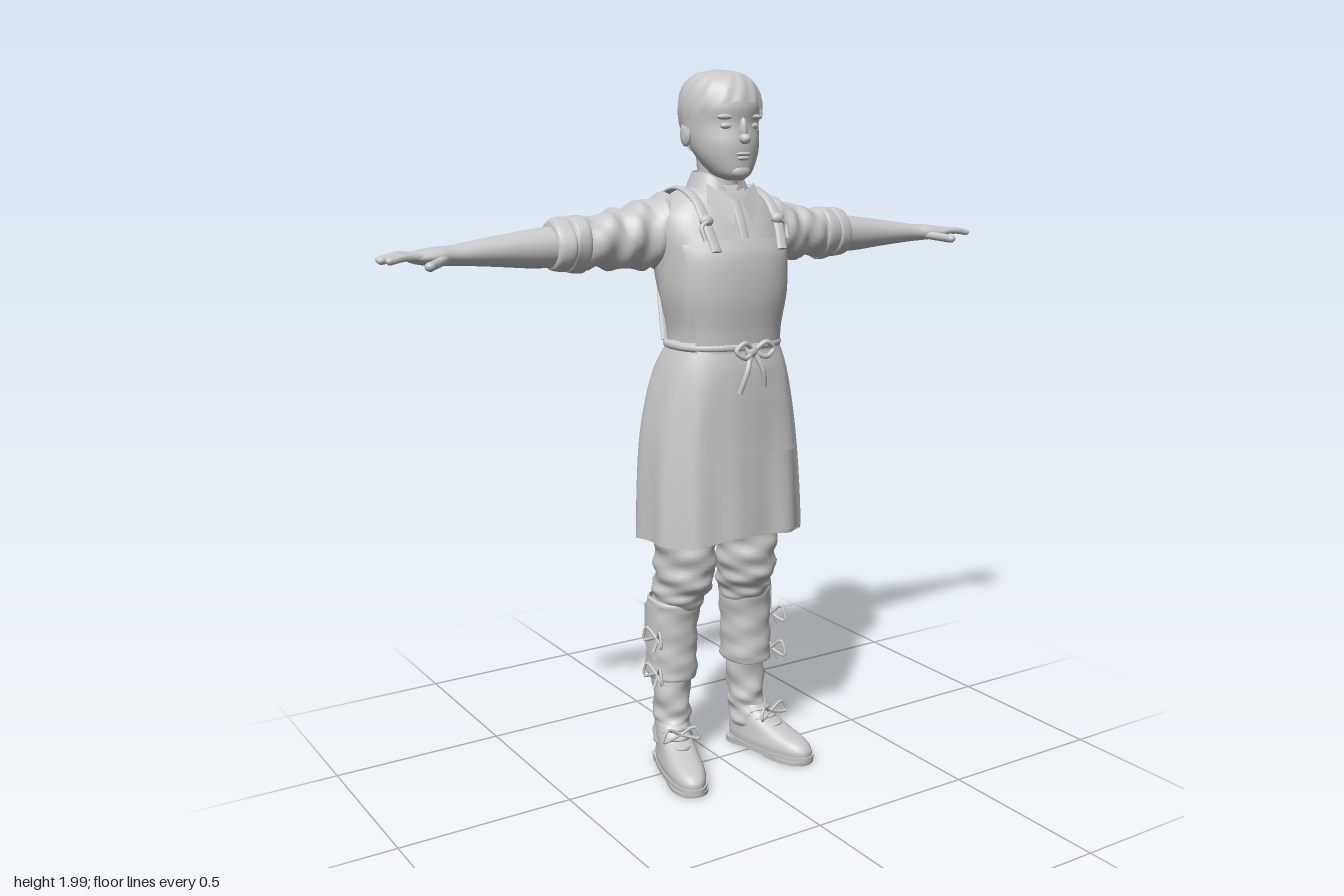
import * as THREE from 'three';

const V = (p) => new THREE.Vector3(...p);

// Grid surface from f(u, v); wrap joins the u edges smoothly.
function surface(f, nu, nv, wrap, caps) {
  const pos = [], idx = [], w = wrap ? nu : nu + 1;
  for (let j = 0; j <= nv; j++) for (let i = 0; i < w; i++) pos.push(...f(i / nu, j / nv));
  for (let j = 0; j < nv; j++) for (let i = 0; i < nu; i++) {
    const a = j * w + i, b = j * w + (i + 1) % w;
    idx.push(a, a + w, b, b, a + w, b + w);
  }
  if (caps) for (const j of [0, nv]) {
    const start = pos.length / 3, c = [0, 0, 0];
    for (let i = 0; i < nu; i++) {
      const p = f(i / nu, j / nv);
      pos.push(...p);
      p.forEach((q, k) => { c[k] += q / nu; });
    }
    pos.push(...c);
    for (let i = 0; i < nu; i++) {
      const a = start + i, b = start + (i + 1) % nu;
      idx.push(start + nu, ...(j ? [b, a] : [a, b]));
    }
  }
  const g = new THREE.BufferGeometry();
  g.setAttribute('position', new THREE.Float32BufferAttribute(pos, 3));
  g.setIndex(idx);
  g.computeVertexNormals();
  return g;
}

// Smooth value between the rows of a section table.
function row(rows, t) {
  const n = rows.length - 1, i = Math.min(Math.floor(t), n - 1), s = t - i;
  const p = [i - 1, i, i + 1, i + 2].map((k) => rows[Math.max(0, Math.min(n, k))]);
  return p[1].map((b, k) => {
    const a = p[0][k], c = p[2][k], d = p[3][k];
    return b + 0.5 * s * (c - a + s * (2 * a - 5 * b + 4 * c - d + s * (3 * (b - c) + d - a)));
  });
}

// Loft of rounded sections [y, centreX, radiusX, frontZ, backZ]; also makes partial patches.
function loft(rows, o = {}) {
  const { e = 1, n = 40, m = 6, grow = 0, a0 = 0, a1 = 2, t0 = 0, t1 = rows.length - 1,
    fold = () => 0, lift = () => 0, caps = false } = o;
  return surface((u, v) => {
    const a = Math.PI * (a0 + (a1 - a0) * u);
    const s = typeof t0 === 'function' ? t0(a) : t0, t = s + (t1 - s) * v;
    const [y, cx, rx, zf, zb] = row(rows, t), k = grow + fold(a, t);
    const c = Math.cos(a), d = Math.sin(a);
    return [cx + (rx + k) * Math.sign(c) * Math.abs(c) ** e, y + lift(a, t),
      (zf + zb) / 2 + ((zf - zb) / 2 + k) * Math.sign(d) * Math.abs(d) ** e];
  }, n, Math.ceil(m * (rows.length - 1)), a1 - a0 === 2, caps);
}

// Sideways loft from rows [x, centreY, radiusY, frontZ, backZ].
const armLoft = (rows, o) => loft(rows.map(([x, y, ...r]) => [x, -y, ...r]), o).rotateZ(-Math.PI / 2);

const tube = (pts, r, n = 24) =>
  new THREE.TubeGeometry(new THREE.CatmullRomCurve3(pts.map(V)), n, r, 8);

const ball = (x, y, z, rx, ry, rz) =>
  new THREE.SphereGeometry(1, 20, 14).scale(rx, ry, rz).translate(x, y, z);

// Flat strap running along a path, wide in x.
function strap(pts, w, h) {
  const curve = new THREE.CatmullRomCurve3(pts.map(V));
  return surface((u, v) => {
    const p = curve.getPoint(v), t = curve.getTangent(v), a = -u * Math.PI * 2;
    const nrm = new THREE.Vector3(1, 0, 0).cross(t).normalize();
    p.x += w * Math.cos(a);
    return p.addScaledVector(nrm, h * Math.sin(a)).toArray();
  }, 10, 36, true, true);
}

export function createModel() {
  const group = new THREE.Group();
  const clay = new THREE.MeshStandardMaterial({ color: 0xc8c8c8, side: THREE.DoubleSide });
  clay.name = 'clay grey';
  const add = (name, g) => {
    const mesh = new THREE.Mesh(g, clay);
    mesh.name = name;
    group.add(mesh);
  };
  const pair = (name, g) => {
    add(`${name}Left`, g);
    const r = g.clone().scale(-1, 1, 1), ix = r.index.array;
    for (let i = 0; i < ix.length; i += 3) [ix[i], ix[i + 1]] = [ix[i + 1], ix[i]];
    add(`${name}Right`, r);
  };

  // Head and face
  const head = [[1.703, 0, 0.02, 0.1, 0.05], [1.72, 0, 0.052, 0.115, 0], [1.76, 0, 0.08, 0.12, -0.045],
    [1.8, 0, 0.094, 0.122, -0.08], [1.85, 0, 0.1, 0.115, -0.103], [1.9, 0, 0.102, 0.12, -0.114],
    [1.95, 0, 0.088, 0.1, -0.1], [1.982, 0, 0.055, 0.062, -0.066], [1.994, 0, 0.004, 0.004, -0.006]];
  add('head', loft(head, { caps: true }));
  add('nose', ball(0, 1.812, 0.124, 0.016, 0.014, 0.018));
  add('noseBridge', ball(0, 1.835, 0.115, 0.011, 0.033, 0.014));
  add('upperLip', ball(0, 1.773, 0.118, 0.024, 0.006, 0.009));
  add('lowerLip', ball(0, 1.762, 0.116, 0.02, 0.007, 0.009));
  add('chin', ball(0, 1.727, 0.104, 0.03, 0.02, 0.017));
  pair('eyelid', ball(0.04, 1.846, 0.098, 0.02, 0.01, 0.012));
  pair('brow', ball(0.042, 1.869, 0.099, 0.029, 0.008, 0.013));
  pair('ear', ball(0.1, 1.825, -0.012, 0.012, 0.034, 0.022).rotateY(0));

  // Short hair with a swept fringe
  const hairline = (a) => {
    const f = Math.sin(a), side = Math.cos(a);
    return f > 0 ? 3.7 + 1.25 * f ** 0.8 - 0.25 * f * Math.cos(a + 1) : 3.7 - 1.3 * Math.min(1, -f * 1.3) * (1 - 0.15 * side * side);
  };
  add('hair', loft(head, { n: 64, t0: hairline, grow: 0.008,
    fold: (a, t) => 0.0018 * Math.sin(a * 14 + t * 3) * Math.min(1, 8 - t) }));

  // Neck, shirt body and collar
  add('neck', loft([[1.6, 0, 0.065, 0.07, -0.08], [1.68, 0, 0.053, 0.052, -0.068], [1.77, 0, 0.056, 0.05, -0.075]]));
  const torso = [[1.22, 0, 0.155, 0.13, -0.11], [1.3, 0, 0.155, 0.135, -0.11], [1.4, 0, 0.175, 0.146, -0.138],
    [1.5, 0, 0.183, 0.14, -0.158], [1.57, 0, 0.19, 0.112, -0.158], [1.62, 0, 0.175, 0.088, -0.145],
    [1.665, 0, 0.12, 0.066, -0.115], [1.69, 0, 0.062, 0.05, -0.085]];
  add('shirtBody', loft(torso, { e: 0.85, n: 64,
    fold: (a, t) => 0.004 * Math.sin(a * 9 + t * 2) * Math.max(0, 1 - Math.abs(t - 1.5) / 2.5) }));
  const standing = [[1.645, 0, 0.088, 0.082, -0.115], [1.69, 0, 0.078, 0.068, -0.1], [1.725, 0, 0.066, 0.062, -0.088]];
  const dip = (a) => -0.05 * Math.max(0, Math.sin(a)) ** 4;
  add('collar', loft(standing, { a0: 0.58, a1: 2.42, lift: dip }));
  add('collarFold', loft([[1.64, 0, 0.1, 0.092, -0.122], [1.725, 0, 0.066, 0.062, -0.088]], { a0: 0.7, a1: 2.3, lift: dip }));
  pair('collarPoint', surface((u, v) => {
    const x = 0.014 + 0.062 * u + 0.014 * v;
    return [x, 1.65 + 0.045 * u - v * (0.062 - 0.01 * u), 0.094 - 0.04 * u + v * 0.026];
  }, 6, 6));
  add('shirtPlacket', strap([[0, 1.65, 0.075], [0, 1.6, 0.104], [0, 1.53, 0.134]], 0.014, 0.004));

  // Sleeves, rolled cuffs and forearms
  pair('sleeve', armLoft([[0.06, 1.57, 0.09, 0.03, -0.13], [0.14, 1.565, 0.1, 0.03, -0.152],
    [0.22, 1.555, 0.09, 0.012, -0.158], [0.31, 1.545, 0.076, 0, -0.157], [0.41, 1.54, 0.066, -0.012, -0.15]],
  { fold: (a, t) => 0.005 * Math.sin(t * 7 + 2 * a) + 0.003 * Math.sin(t * 11 - 3 * a), m: 10 }));
  pair('sleeveCuff', armLoft([[0.385, 1.54, 0.062, -0.02, -0.14], [0.392, 1.54, 0.077, -0.004, -0.16],
    [0.425, 1.54, 0.074, -0.006, -0.157], [0.432, 1.54, 0.069, -0.01, -0.151], [0.442, 1.538, 0.073, -0.006, -0.155],
    [0.475, 1.537, 0.067, -0.014, -0.148], [0.483, 1.537, 0.05, -0.03, -0.13]],
  { fold: (a, t) => 0.0025 * Math.sin(3 * a + t) }));
  pair('forearmAndHand', armLoft([[0.44, 1.536, 0.056, -0.02, -0.138], [0.53, 1.532, 0.051, -0.027, -0.135],
    [0.62, 1.53, 0.041, -0.033, -0.128], [0.7, 1.528, 0.032, -0.036, -0.116], [0.755, 1.526, 0.026, -0.036, -0.108],
    [0.795, 1.526, 0.024, -0.026, -0.114], [0.835, 1.525, 0.02, -0.024, -0.12], [0.865, 1.525, 0.013, -0.027, -0.117],
    [0.875, 1.524, 0.004, -0.04, -0.106]], { caps: true }));
  const fingers = [[0.942, -0.024, -0.036], [0.955, -0.05, -0.06], [0.947, -0.084, -0.083], [0.92, -0.118, -0.106]];
  fingers.forEach(([x, tip, root], i) => {
    pair(`finger${i + 1}`, tube([[0.84, 1.526, root], [0.89, 1.53, (root + tip) / 2], [x - 0.008, 1.523, tip]], 0.0095, 10));
    pair(`fingertip${i + 1}`, ball(x - 0.008, 1.523, tip, 0.011, 0.0095, 0.0095));
  });
  pair('thumb', tube([[0.775, 1.522, -0.052], [0.81, 1.515, -0.018], [0.845, 1.508, 0.008]], 0.0125, 10));
  pair('thumbTip', ball(0.845, 1.508, 0.008, 0.014, 0.012, 0.013));

  // Skirt, apron panels and pocket
  const skirt = [[0.705, 0, 0.238, 0.172, -0.186], [0.85, 0, 0.234, 0.163, -0.185], [1, 0, 0.222, 0.153, -0.182],
    [1.12, 0, 0.2, 0.147, -0.168], [1.2, 0, 0.178, 0.14, -0.143], [1.265, 0, 0.15, 0.128, -0.105]];
  const drape = (a, t) => Math.max(0, 1 - t / 4) * (0.005 * Math.cos(11 * a + 0.5) - 0.014 * Math.max(0, Math.sin(a)) ** 12);
  const hem = (a, t) => Math.max(0, 1 - t) * (0.015 * Math.sin(a) + 0.006 * Math.cos(4 * a));
  const cloth = { e: 0.8, n: 96, fold: drape, lift: hem };
  add('skirt', loft(skirt, cloth));
  add('apronSkirt', loft(skirt, { ...cloth, a0: 0.22, a1: 0.78, t0: 0.15, grow: 0.01 }));
  add('apronPocket', loft(skirt, { ...cloth, a0: 0.32, a1: 0.68, t0: 1.72, t1: 4.6, grow: 0.019 }));
  add('pocketHem', loft(skirt, { ...cloth, a0: 0.32, a1: 0.68, t0: 1.72, t1: 1.8, grow: 0.023 }));
  add('apronBib', loft(torso, { e: 0.85, a0: 0.2, a1: 0.8, t0: 0.4, t1: 3.72, grow: 0.013,
    lift: (a, t) => -0.02 * Math.max(0, t - 2.7) * Math.abs(Math.cos(a)) }));
  add('bibHem', loft(torso, { e: 0.85, a0: 0.24, a1: 0.76, t0: 3.5, t1: 3.72, grow: 0.017,
    lift: (a) => -0.015 * Math.abs(Math.cos(a)) }));

  // Shoulder straps, crossing band and waist tie
  pair('strap', strap([[0.105, 1.52, 0.152], [0.115, 1.59, 0.116], [0.115, 1.65, 0.065], [0.113, 1.682, -0.03],
    [0.11, 1.645, -0.132], [0.098, 1.56, -0.17], [0.09, 1.47, -0.168], [0.105, 1.37, -0.135], [0.12, 1.26, -0.09]], 0.016, 0.006));
  pair('strapKnot', ball(0.115, 1.6, 0.115, 0.02, 0.016, 0.014));
  pair('strapTail', tube([[0.115, 1.6, 0.124], [0.135, 1.585, 0.124], [0.132, 1.55, 0.138]], 0.006, 10));
  add('backBand', loft(torso, { e: 0.85, a0: 1.3, a1: 1.7, t0: 1.95, t1: 2.2, grow: 0.016 }));
  add('waistTie', loft([[1.245, 0, 0.152, 0.132, -0.106], [1.252, 0, 0.165, 0.148, -0.12],
    [1.265, 0, 0.165, 0.148, -0.12], [1.273, 0, 0.15, 0.134, -0.106]], { e: 0.85, n: 48 }));
  add('bowKnot', ball(-0.005, 1.25, 0.168, 0.018, 0.017, 0.016));
  pair('bowLoop', tube([[0, 1.25, 0.17], [0.035, 1.275, 0.18], [0.06, 1.255, 0.178], [0.035, 1.235, 0.182], [0, 1.25, 0.17]], 0.007));
  add('bowTailLong', tube([[0, 1.25, 0.17], [0.02, 1.2, 0.186], [0.03, 1.15, 0.178]], 0.008));
  add('bowTailShort', tube([[-0.01, 1.25, 0.17], [-0.03, 1.2, 0.186], [-0.05, 1.14, 0.178]], 0.008));

  // Breeches, leggings and boot shafts
  const wrinkle = (k) => (a, t) => k * Math.sin(t * 6 + 2 * a) + k * 0.6 * Math.sin(t * 10 - 3 * a);
  pair('breeches', loft([[0.47, 0.118, 0.06, 0.015, -0.125], [0.52, 0.112, 0.072, 0.045, -0.136], [0.58, 0.106, 0.08, 0.075, -0.126],
    [0.66, 0.105, 0.085, 0.08, -0.118], [0.76, 0.102, 0.093, 0.085, -0.122], [0.95, 0.1, 0.098, 0.09, -0.13],
    [1.1, 0.08, 0.09, 0.08, -0.12]], { fold: wrinkle(0.004), m: 8, caps: true }));
  pair('legging', loft([[0.285, 0.13, 0.05, -0.005, -0.115], [0.28, 0.13, 0.069, 0.02, -0.138], [0.34, 0.13, 0.07, 0.02, -0.138],
    [0.42, 0.128, 0.07, 0.02, -0.137], [0.5, 0.124, 0.073, 0.028, -0.138], [0.515, 0.122, 0.066, 0.025, -0.132]],
  { e: 0.9, fold: wrinkle(0.0018) }));
  pair('leggingFlap', surface((u, v) => {
    const a = -0.5 + 0.9 * u;
    return [0.127 + 0.079 * Math.cos(a), 0.5 - v * (0.12 + 0.05 * u), -0.055 + 0.088 * Math.sin(a)];
  }, 8, 4));
  for (const y of [0.3, 0.41]) pair('leggingTie', tube([[0.198, y, -0.02], [0.212, y + 0.03, 0.015], [0.215, y - 0.012, 0.03],
    [0.202, y, -0.02], [0.212, y + 0.025, -0.06], [0.215, y - 0.015, -0.07], [0.2, y, -0.02], [0.218, y - 0.035, -0.01]], 0.0045, 40));
  pair('bootShaft', loft([[0.07, 0.133, 0.053, 0.015, -0.116], [0.13, 0.131, 0.05, 0.008, -0.117], [0.2, 0.13, 0.052, 0.002, -0.12],
    [0.32, 0.13, 0.055, 0.003, -0.122]], { fold: wrinkle(0.0035), m: 10 }));

  // Boots, turned slightly outward
  const place = (g) => g.rotateY(0.25).translate(0.135, 0, -0.055);
  pair('bootFoot', place(loft([[0.018, 0, 0.054, 0.247, -0.058], [0.04, 0, 0.056, 0.245, -0.06], [0.06, 0, 0.053, 0.222, -0.06],
    [0.08, 0, 0.05, 0.165, -0.06], [0.105, 0, 0.048, 0.1, -0.06], [0.14, 0, 0.046, 0.06, -0.06]], { e: 0.85, caps: true })));
  pair('bootSole', place(loft([[0.008, 0, 0.057, 0.252, -0.062], [0.024, 0, 0.058, 0.252, -0.062]], { e: 0.82, caps: true, m: 2 })));
  pair('bootToeSole', place(loft([[0, 0, 0.055, 0.248, 0.07], [0.012, 0, 0.056, 0.25, 0.07]], { e: 0.85, caps: true, m: 2 })));
  pair('bootHeel', place(loft([[0, 0, 0.047, 0.03, -0.062], [0.02, 0, 0.05, 0.03, -0.062]], { e: 0.75, caps: true, m: 2 })));
  for (let i = 0; i < 3; i++) pair('bootLace', place(tube([[-0.04, 0.085 + i * 0.018, 0.09 - i * 0.02],
    [0, 0.096 + i * 0.018, 0.132 - i * 0.026], [0.04, 0.085 + i * 0.018, 0.09 - i * 0.02]], 0.005, 12)));
  pair('bootBow', place(tube([[0, 0.125, 0.095], [0.04, 0.148, 0.105], [0.055, 0.115, 0.11], [0, 0.125, 0.095],
    [-0.04, 0.148, 0.105], [-0.055, 0.115, 0.11], [0, 0.125, 0.095]], 0.0045, 36)));
  return group;
}
